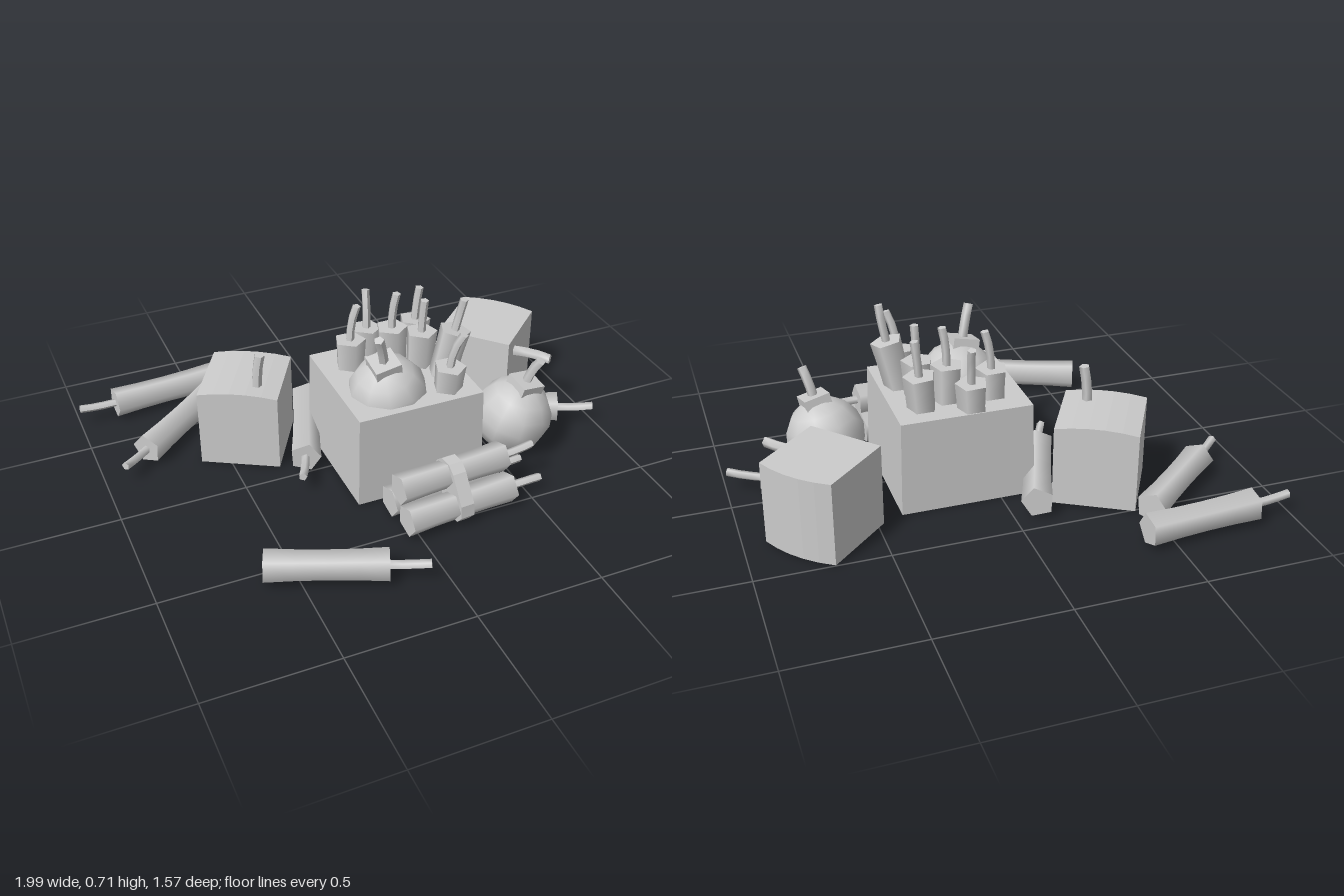
import * as THREE from 'three';

const grey = new THREE.MeshStandardMaterial({ color: 0xcccccc });
const UP = new THREE.Vector3(0, 1, 0);
const v = (p) => new THREE.Vector3(...p);

function mesh(name, geometry, parent) {
  const m = new THREE.Mesh(geometry, grey);
  m.name = name;
  parent.add(m);
  return m;
}

// Move every vertex of a geometry by a rule, then refresh the normals
function warp(geometry, rule) {
  const pos = geometry.attributes.position, p = new THREE.Vector3();
  for (let i = 0; i < pos.count; i++) {
    rule(p.fromBufferAttribute(pos, i));
    pos.setXYZ(i, p.x, p.y, p.z);
  }
  geometry.computeVertexNormals();
  return geometry;
}

// Bent cord that leaves point a along dir and ends at b
function addFuse(parent, a, dir, b, r = 0.017) {
  const mid = a.clone().addScaledVector(dir, a.distanceTo(b) * 0.55);
  const curve = new THREE.QuadraticBezierCurve3(a, mid, b);
  const q = new THREE.Quaternion().setFromUnitVectors(UP, b.clone().sub(a).normalize());
  const cord = new THREE.CylinderGeometry(r, r, 1, 5, 3);
  warp(cord, (p) => {
    const along = curve.getPoint(p.y + 0.5);
    p.setY(0).applyQuaternion(q).add(along);
  });
  mesh('fuse', cord, parent);
}

// Five-sided waisted stick from one end to the other, with a fuse to the tip
function addStick(parent, name, from, to, tip, r = 0.064) {
  const a = v(from), b = v(to), axis = b.clone().sub(a), length = axis.length();
  axis.normalize();
  const g = new THREE.Group();
  g.name = name;
  parent.add(g);
  const geo = new THREE.CylinderGeometry(r, r, length, 5, 4);
  const pos = geo.attributes.position;
  for (let i = 0; i < pos.count; i++) {
    const t = (2 * pos.getY(i)) / length;
    const k = 1 - 0.1 * (1 - t * t);
    pos.setX(i, pos.getX(i) * k);
    pos.setZ(i, pos.getZ(i) * k);
  }
  const body = mesh('stickBody', geo, g);
  body.position.copy(a).lerp(b, 0.5);
  body.quaternion.setFromUnitVectors(UP, axis);
  addFuse(g, b.clone().addScaledVector(axis, -0.01), axis, v(tip));
}

// Round bomb with a square cap leaning along an axis
function addBomb(parent, name, centre, lean, yaw, tip) {
  const g = new THREE.Group();
  g.name = name;
  parent.add(g);
  const c = v(centre), axis = v(lean).normalize();
  const tilted = new THREE.Group();
  tilted.position.copy(c);
  tilted.quaternion.setFromUnitVectors(UP, axis);
  g.add(tilted);
  mesh('bombBody', new THREE.SphereGeometry(0.158, 10, 8), tilted);
  const cap = mesh('bombCap', new THREE.BoxGeometry(0.105, 0.06, 0.105), tilted);
  cap.position.y = 0.147;
  cap.rotation.y = yaw;
  addFuse(g, c.clone().addScaledVector(axis, 0.165), axis, v(tip), 0.02);
}

// Cube whose local +y face swells outward
function addBlock(parent, name, size, depth, crown) {
  const h = size / 2;
  const s = new THREE.Shape();
  s.moveTo(-h, -h);
  s.lineTo(h, -h);
  s.lineTo(h, h);
  s.quadraticCurveTo(0, h + crown * 2, -h, h);
  s.closePath();
  const geo = new THREE.ExtrudeGeometry(s, { depth, bevelEnabled: false, curveSegments: 5 });
  geo.translate(0, 0, -depth / 2);
  return mesh(name, geo, parent);
}

export function createModel() {
  const model = new THREE.Group();
  model.name = 'explosivesPile';

  // Slightly tapered crate
  const crate = mesh('crate', warp(new THREE.BoxGeometry(0.53, 0.38, 0.53), (p) => {
    if (p.y > 0) { p.x *= 0.975; p.z *= 0.975; }
  }), model);
  crate.position.set(0.13, 0.195, 0.01);

  // Sticks standing in the crate: base x, z, then top, then fuse tip
  const standing = [
    [-0.01, -0.11, [-0.005, 0.5, -0.12], [0.02, 0.65, -0.11]],
    [0.09, -0.19, [0.1, 0.49, -0.2], [0.11, 0.64, -0.235]],
    [0.17, -0.1, [0.165, 0.53, -0.1], [0.18, 0.68, -0.09]],
    [0.26, -0.13, [0.285, 0.52, -0.14], [0.30, 0.66, -0.135]],
    [0.25, -0.03, [0.26, 0.53, -0.025], [0.265, 0.67, -0.015]],
    [0.27, 0.06, [0.35, 0.575, 0.085], [0.37, 0.715, 0.11]],
    [0.27, 0.17, [0.28, 0.485, 0.19], [0.315, 0.635, 0.225]],
  ];
  for (const [x, z, top, tip] of standing) addStick(model, 'standingStick', [x, 0.2, z], top, tip);

  // Loose sticks on the ground: tail, fuse end, fuse tip (x, z)
  const loose = [
    [[-0.615, 0.535], [-0.2, 0.705], [-0.065, 0.77]],
    [[-0.395, -0.73], [-0.845, -0.695], [-0.995, -0.685]],
    [[-0.47, -0.6], [-0.81, -0.315], [-0.92, -0.22]],
    [[-0.085, -0.43], [-0.245, -0.01], [-0.305, 0.12]],
    [[0.45, -0.12], [0.855, 0.075], [0.99, 0.14]],
  ];
  for (const [a, b, t] of loose) {
    addStick(model, 'looseStick', [a[0], 0.07, a[1]], [b[0], 0.07, b[1]], [t[0], 0.082, t[1]]);
  }

  // Bundle of three sticks held by a strap
  const bundle = new THREE.Group();
  bundle.name = 'stickBundle';
  bundle.position.set(0.18, 0, 0.425);
  bundle.rotation.y = 0.08;
  model.add(bundle);
  for (const [y, z, tipY, tipZ] of [[0.07, -0.067, 0.06, -0.08], [0.07, 0.067, 0.06, 0.06], [0.172, 0, 0.175, -0.01]]) {
    addStick(bundle, 'bundledStick', [-0.228, y, z], [0.228, y, z], [0.37, tipY, tipZ]);
  }
  const band = new THREE.Shape();
  [[-0.1, 0.014], [0.1, 0.014], [0.13, 0.05], [0.125, 0.1], [0.058, 0.205], [0.025, 0.232],
    [-0.025, 0.232], [-0.058, 0.205], [-0.125, 0.1], [-0.13, 0.05]]
    .forEach(([x, y], i) => (i ? band.lineTo(x, y) : band.moveTo(x, y)));
  const bandGeo = new THREE.ExtrudeGeometry(band, { depth: 0.056, bevelEnabled: false });
  bandGeo.translate(0, 0, -0.028);
  mesh('strap', bandGeo, bundle).rotation.y = Math.PI / 2;

  // Bombs beside and inside the crate
  addBomb(model, 'groundBomb', [0.59, 0.165, 0.162], [0.2, 0.95, 0.17], 0.15, [0.655, 0.44, 0.235]);
  addBomb(model, 'crateBomb', [0.065, 0.36, 0.09], [-0.19, 0.95, 0.18], 0, [-0.005, 0.65, 0.16]);

  // Block standing upright, fuse on top
  const upright = addBlock(model, 'uprightBlock', 0.32, 0.325, 0.015);
  upright.position.set(-0.39, 0.168, -0.292);
  upright.rotation.y = -0.52;
  addFuse(model, v([-0.375, 0.31, -0.19]), UP, v([-0.36, 0.48, -0.18]), 0.021);

  // Block lying on its side, fuse on its flank
  const lying = addBlock(model, 'lyingBlock', 0.31, 0.332, 0.025);
  lying.position.set(0.695, 0.174, -0.282);
  lying.rotation.set(-Math.PI / 2, -0.83, 0, 'YXZ');
  addFuse(model, v([0.74, 0.272, -0.12]), v([0.8, 0, 0.6]), v([0.85, 0.268, 0]), 0.021);

  return model;
}
